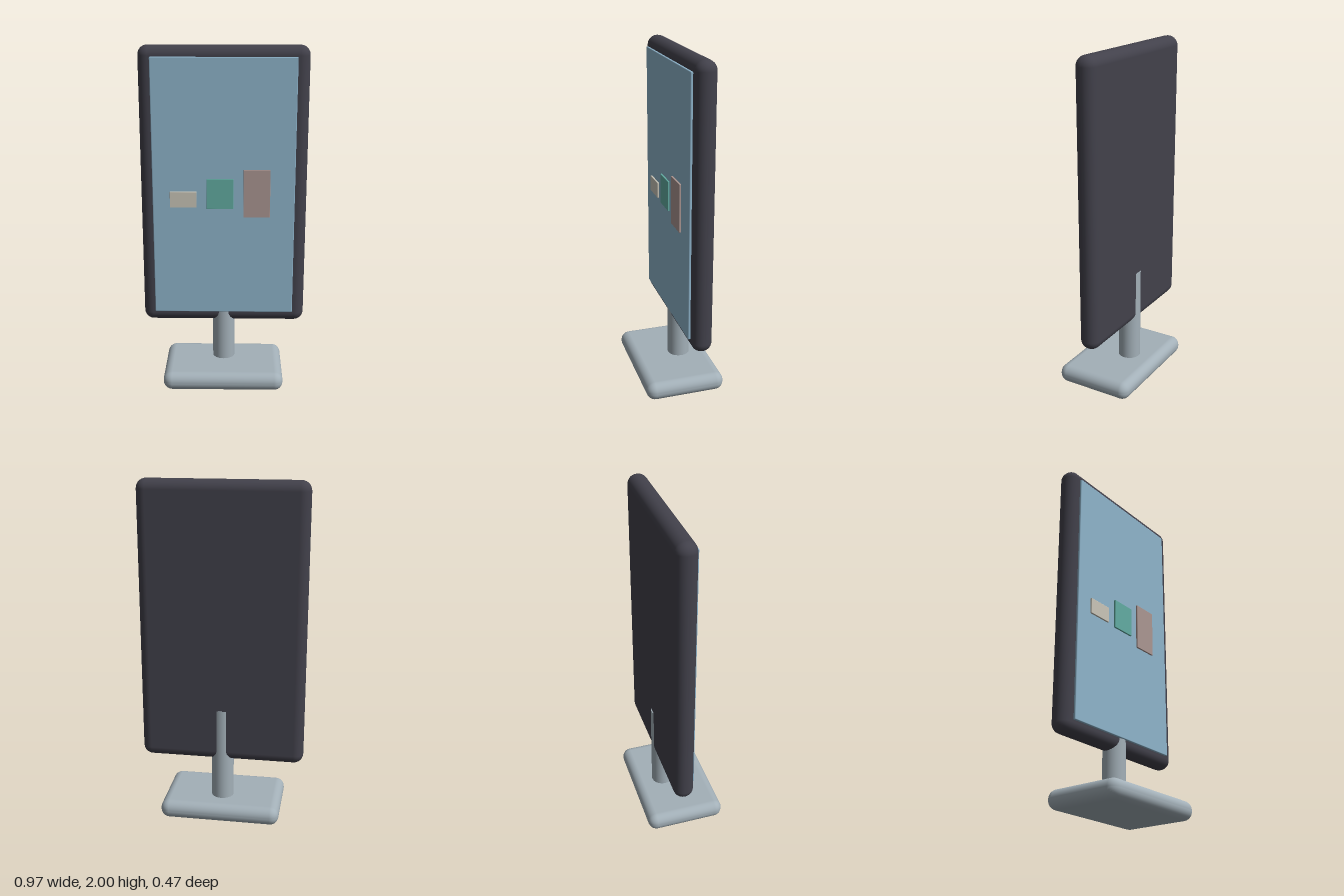
import * as THREE from 'three';
import { RoundedBoxGeometry } from 'three/addons/geometries/RoundedBoxGeometry.js';

function material(name, color) {
  const m = new THREE.MeshStandardMaterial({ color });
  m.name = name;
  return m;
}

export function createModel() {
  const group = new THREE.Group();
  group.name = 'displayStand';

  const charcoal = material('charcoal', 0x42414b);
  const steel = material('steel grey', 0xa3b0b8);
  const glass = material('pale blue', 0x8eb4cb);
  const cream = material('cream', 0xc9c5b8);
  const teal = material('teal', 0x62aca2);
  const rose = material('dusty rose', 0xab9692);

  // Rounded block given by its minimum and maximum corners
  function block(name, mat, min, max, radius, segments = 4) {
    const size = max.map((v, i) => v - min[i]);
    const mesh = new THREE.Mesh(new RoundedBoxGeometry(...size, segments, radius), mat);
    mesh.position.set(...max.map((v, i) => (v + min[i]) / 2));
    mesh.name = name;
    group.add(mesh);
  }

  // Foot and upright
  block('base', steel, [-0.355, 0, -0.237], [0.355, 0.11, 0.235], 0.052);
  const post = new THREE.Mesh(new THREE.CylinderGeometry(0.066, 0.066, 0.59, 32), steel);
  post.position.set(0, 0.375, -0.056);
  post.name = 'post';
  group.add(post);

  // Housing and screen
  block('housing', charcoal, [-0.483, 0.355, -0.115], [0.483, 2, 0.003], 0.057);
  block('screen', glass, [-0.412, 0.424, 0.002], [0.412, 1.938, 0.017], 0.005, 2);

  // Raised tiles on the screen: x range, y range
  const tiles = [
    ['smallTile', cream, -0.311, -0.156, 1.08, 1.174],
    ['mediumTile', teal, -0.098, 0.057, 1.073, 1.251],
    ['tallTile', rose, 0.115, 0.269, 1.022, 1.304],
  ];
  for (const [name, mat, x0, x1, y0, y1] of tiles) {
    block(name, mat, [x0, y0, 0.0165], [x1, y1, 0.0275], 0.002, 2);
  }

  return group;
}
